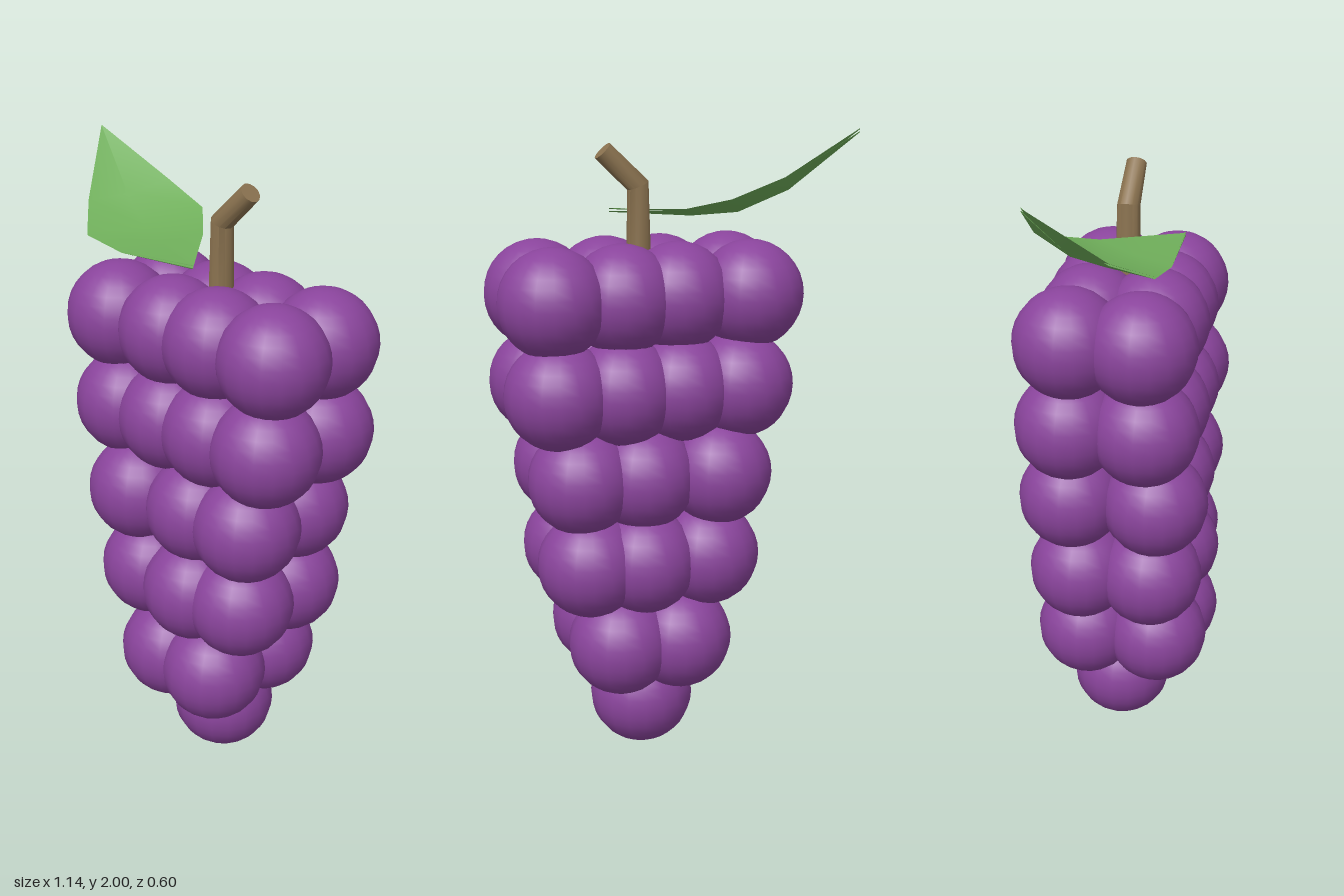
import * as THREE from 'three';
import { toCreasedNormals } from 'three/addons/utils/BufferGeometryUtils.js';

const RADIUS = 0.168;

// Tiers of berries: height, x of each pair, z of the front and back berry
const tiers = [
  { y: 1.51, xs: [-0.227, 0, 0.18, 0.398], front: [0.11, 0.105, 0.1, 0.097], back: [-0.11, -0.095, -0.105, -0.122] },
  { y: 1.23, xs: [-0.193, 0, 0.185, 0.388], front: [0.115, 0.113, 0.11, 0.11], back: [-0.122, -0.12, -0.125, -0.13] },
  { y: 0.953, xs: [-0.122, 0.12, 0.318], front: [0.135, 0.115, 0.11], back: [-0.135, -0.12, -0.115] },
  { y: 0.677, xs: [-0.09, 0.123, 0.294], front: [0.115, 0.135, 0.105], back: [-0.115, -0.132, -0.115] },
  { y: 0.4, xs: [0.002, 0.198], front: [0.12, 0.125], back: [-0.118, -0.115] },
];

function makeBerries() {
  const berries = new THREE.Group();
  berries.name = 'berries';
  const geometry = new THREE.SphereGeometry(RADIUS, 18, 16);
  const material = new THREE.MeshStandardMaterial({ color: 0x8a449c });
  const add = (x, y, z) => {
    const berry = new THREE.Mesh(geometry, material);
    berry.name = 'berry';
    berry.position.set(x, y, z);
    berries.add(berry);
  };
  for (const { y, xs, front, back } of tiers) {
    xs.forEach((x, i) => {
      add(x, y, front[i]);
      add(x, y, back[i]);
    });
  }
  add(0.105, 0.174, -0.021); // single berry at the tip
  return berries;
}

// Bent stem: a cylinder whose three rings are moved and tilted
function makeStem() {
  const rings = [
    { x: 0.098, y: 1.5, r: 0.042, tilt: 0 },
    { x: 0.1, y: 1.84, r: 0.036, tilt: 0.39 },
    { x: 0.21, y: 1.945, r: 0.032, tilt: 0.78 },
  ];
  const geometry = new THREE.CylinderGeometry(1, 1, 2, 12, 2);
  const p = geometry.attributes.position;
  for (let i = 0; i < p.count; i++) {
    const { x, y, r, tilt } = rings[Math.round(p.getY(i)) + 1];
    const u = p.getX(i) * r, w = p.getZ(i) * r;
    p.setXYZ(i, x + u * Math.cos(tilt), y - u * Math.sin(tilt), w - 0.002);
  }
  const stem = new THREE.Mesh(toCreasedNormals(geometry, 0.6), new THREE.MeshStandardMaterial({ color: 0x8b7350 }));
  stem.name = 'stem';
  return stem;
}

// Cupped leaf: cross-sections of front edge, midrib and back edge from tip to tip
const tip = [-0.57, 2.0, -0.135], base = [0.147, 1.75, 0.167];
const leafSections = [
  [tip, tip, tip],
  [[-0.42, 1.82, 0.06], [-0.37, 1.825, -0.06], [-0.31, 1.865, -0.18]],
  [[-0.31, 1.755, 0.165], [-0.225, 1.755, 0], [-0.145, 1.803, -0.17]],
  [[-0.14, 1.738, 0.18], [-0.09, 1.742, 0.06], [-0.035, 1.767, -0.06]],
  [base, base, base],
];

function leafSheet(side) {
  const positions = [], index = [];
  for (const section of leafSections) {
    section.forEach(([x, y, z], j) => positions.push(x, j === 1 ? y + side * 0.006 : y + side * 0.003, z));
  }
  for (let i = 0; i < leafSections.length - 1; i++) {
    for (let j = 0; j < 2; j++) {
      const a = i * 3 + j, b = a + 1, c = a + 3, d = a + 4;
      if (side > 0) index.push(a, c, d, a, d, b);
      else index.push(a, d, c, a, b, d);
    }
  }
  const geometry = new THREE.BufferGeometry();
  geometry.setAttribute('position', new THREE.Float32BufferAttribute(positions, 3));
  geometry.setIndex(index);
  geometry.computeVertexNormals();
  return geometry;
}

function makeLeaf() {
  const leaf = new THREE.Group();
  leaf.name = 'leaf';
  const material = new THREE.MeshStandardMaterial({ color: 0x6fae5a, side: THREE.DoubleSide });
  for (const side of [1, -1]) {
    const sheet = new THREE.Mesh(leafSheet(side), material);
    sheet.name = side > 0 ? 'leafTop' : 'leafUnderside';
    leaf.add(sheet);
  }
  return leaf;
}

export function createModel() {
  const model = new THREE.Group();
  model.name = 'grapeBunch';
  model.add(makeBerries(), makeStem(), makeLeaf());
  return model;
}
